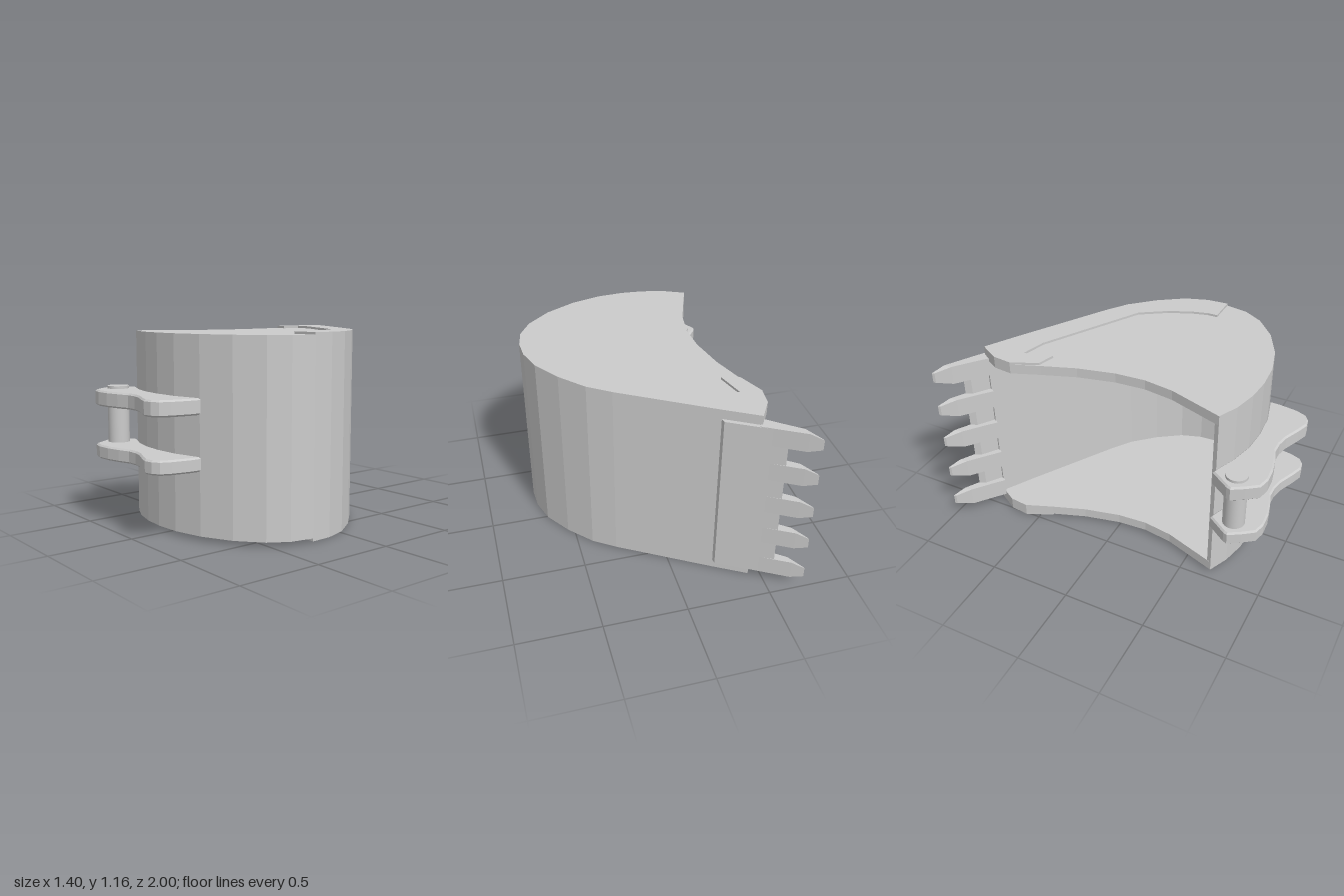
import * as THREE from 'three';

const material = new THREE.MeshStandardMaterial({ color: 0xcccccc, flatShading: true });

// Extrudes an outline of [x, z] points upward from y0 to y1
function slab(points, y0, y1, bevel = 0) {
  const shape = new THREE.Shape(points.map(([x, z]) => new THREE.Vector2(x, -z)));
  const geometry = new THREE.ExtrudeGeometry(shape, {
    depth: y1 - y0 - 2 * bevel,
    bevelEnabled: bevel > 0,
    bevelThickness: bevel, bevelSize: bevel, bevelOffset: -bevel, bevelSegments: 1,
  });
  geometry.rotateX(-Math.PI / 2);
  geometry.translate(0, y0 + bevel, 0);
  return geometry;
}

// Offsets an open path sideways by d
function offsetPath(path, d) {
  return path.map(([x, z], i) => {
    const a = path[Math.max(i - 1, 0)], b = path[Math.min(i + 1, path.length - 1)];
    const dx = b[0] - a[0], dz = b[1] - a[1], len = Math.hypot(dx, dz);
    return [x + (dz / len) * d, z - (dx / len) * d];
  });
}

// Curved back of the bucket, from the hinge side round to the cutting edge
const back = [
  [-0.46, 0.68], [-0.34, 0.735], [-0.2, 0.77], [-0.06, 0.782], [0.1, 0.772],
  [0.28, 0.725], [0.46, 0.635], [0.6, 0.515], [0.67, 0.4], [0.697, 0.26],
  [0.69, 0.13], [0.645, -0.01], [0.54, -0.165], [0.41, -0.305], [0.28, -0.395],
  [-0.24, -0.708], [-0.43, -0.818],
];
// Concave mouth edge of the side plates
const mouth = [
  [-0.5, -0.7], [-0.513, -0.585], [-0.45, -0.42], [-0.38, -0.22],
  [-0.332, 0], [-0.322, 0.18], [-0.35, 0.36],
];
// Reinforcement strip on the outside of each side plate
const strip = [
  ...back.slice(9), ...mouth.slice(0, 2), [-0.445, -0.43], [-0.34, -0.4],
  [-0.39, -0.57], [-0.24, -0.53], [0.34, -0.195], [0.44, -0.04],
  [0.5, 0.1], [0.525, 0.2], [0.525, 0.26],
];
// Hinge ear
const ear = [
  [-0.49, 0.672], [-0.46, 0.68], [-0.34, 0.73], [-0.2, 0.765], [-0.06, 0.775],
  [0.1, 0.765], [0.285, 0.72], [0.285, 0.79], [0.268, 0.9], [0.245, 0.96],
  [0.205, 0.988], [0.15, 0.997], [0.08, 0.972], [-0.02, 0.93], [-0.09, 0.915],
  [-0.16, 0.915], [-0.24, 0.94], [-0.33, 0.96], [-0.42, 0.965], [-0.49, 0.948],
  [-0.54, 0.88], [-0.582, 0.81], [-0.572, 0.785],
];

export function createModel() {
  const group = new THREE.Group();
  const add = (name, geometry, mat = material) => {
    const mesh = new THREE.Mesh(geometry, mat);
    mesh.name = name;
    group.add(mesh);
    return mesh;
  };

  // Shell: curved wall between two side plates
  const inner = offsetPath(back, -0.03);
  if (inner[9][0] > back[9][0]) inner.splice(0, inner.length, ...offsetPath(back, 0.03));
  add('backWall', slab([...back, ...inner.reverse()], 0.085, 1.085));
  add('lowerSidePlate', slab([...back, ...mouth], 0.025, 0.085));
  add('upperSidePlate', slab([...back, ...mouth], 1.085, 1.145));
  add('lowerSideStrip', slab(strip, 0.008, 0.025));
  add('upperSideStrip', slab(strip, 1.145, 1.159));

  // Cutting edge plate
  add('cuttingEdge', slab(
    [[-0.24, -0.7], [-0.245, -0.738], [-0.47, -0.866], [-0.548, -0.908], [-0.53, -0.868], [-0.43, -0.8]],
    0.065, 1.1));

  // Teeth: straight root and a tip that narrows
  for (let i = 0; i < 5; i++) {
    const y = 0.122 + i * 0.231;
    add('toothRoot', slab(
      [[-0.41, -0.83], [-0.47, -0.866], [-0.635, -0.961], [-0.63, -0.912], [-0.515, -0.822], [-0.455, -0.772]],
      y - 0.058, y + 0.058));
    const tip = slab([[-0.635, -0.961], [-0.703, -1.0], [-0.699, -0.985], [-0.63, -0.912]], -0.058, 0.058);
    const p = tip.attributes.position;
    for (let k = 0; k < p.count; k++) if (p.getX(k) < -0.66) p.setY(k, p.getY(k) * 0.55);
    tip.computeVertexNormals();
    add('toothTip', tip).position.y = y;
  }

  // Hinge ears and pin
  add('lowerHingeEar', slab(ear, 0.391, 0.474, 0.01));
  add('upperHingeEar', slab(ear, 0.706, 0.799, 0.01));
  const smooth = new THREE.MeshStandardMaterial({ color: 0xcccccc });
  add('hingePin', new THREE.CylinderGeometry(0.064, 0.064, 0.437, 32), smooth)
    .position.set(-0.47, 0.597, 0.805);

  // Slight lean of the resting bucket
  const model = new THREE.Group();
  group.name = 'bucket';
  group.rotation.x = -0.006;
  model.add(group);
  return model;
}
